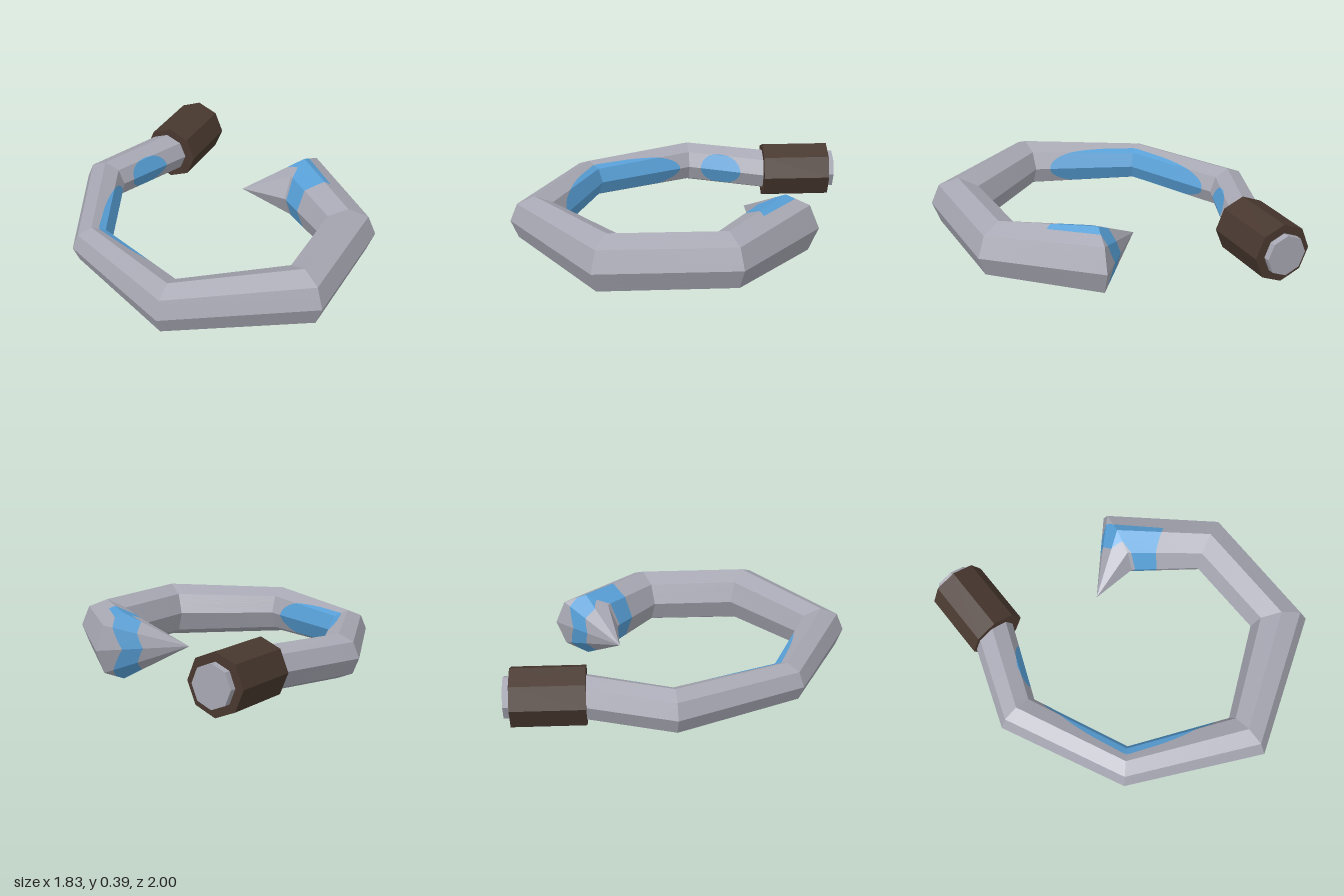
import * as THREE from 'three';

const CY = 0.2; // height of the hook's centre line

// Octagonal sections: centre x, z, point on the outer edge x, z
const stations = [
  [-0.60, -1.00, -0.72, -1.00],
  [-0.60, -0.60, -0.725, -0.62],
  [-0.795, -0.08, -0.92, -0.07],
  [-0.50, 0.555, -0.58, 0.64],
  [0.155, 0.85, 0.165, 0.995],
  [0.76, 0.435, 0.905, 0.52],
  [0.76, -0.21, 0.91, -0.28],
  [0.33, -0.57, 0.37, -0.76],
  [0.01, -0.37, 0.01, -0.37], // tip
];
const LAST = stations.length - 1;

// Corner of a section; w counts eighths of a turn: 0 inner, 2 top, 4 outer, -2 bottom
function corner(k, w) {
  const [cx, cz, ox, oz] = stations[k];
  const a = w * Math.PI / 4;
  const dx = ox - cx, dz = oz - cz;
  return new THREE.Vector3(
    cx - dx * Math.cos(a), CY + Math.hypot(dx, dz) * Math.sin(a), cz - dz * Math.cos(a));
}

// Point on the faceted surface, u along the hook, w around it
function surface(u, w) {
  const k = Math.min(Math.floor(u), LAST - 1), j = Math.floor(w);
  const ring = (s) => corner(s, j).lerp(corner(s, j + 1), w - j);
  return ring(k).lerp(ring(k + 1), u - k);
}

// Piecewise linear lookup
function lookup(table, x) {
  for (let i = 1; i < table.length; i++) {
    const [x0, y0] = table[i - 1], [x1, y1] = table[i];
    if (x <= x1) return y0 + (y1 - y0) * (x - x0) / (x1 - x0);
  }
  return table[table.length - 1][1];
}

// Start and end of an oval patch on the inner side
function oval(centre, half, reach, w) {
  const h = half * Math.sqrt(Math.max(0, 1 - (w / reach) ** 2));
  return [centre - h, centre + h];
}

// Patch boundaries along u; metal and blue alternate between them
function boundaries(w) {
  const a = Math.abs(w);
  return [
    0,
    ...oval(1.6, 0.25, 1.1, w),
    ...oval(2.98, 0.87, 1.5, w),
    lookup([[0, 6.62], [1, 6.62], [2.3, 6.5], [2.4, 7], [4, 7.28]], a),
    lookup([[0, 6.95], [1, 6.95], [1.5, 7], [2, 7.28], [4, 7.5]], a),
    LAST,
  ];
}

function pushTri(out, a, b, c) {
  const area = b.clone().sub(a).cross(c.clone().sub(a)).length();
  if (area > 1e-9) for (const p of [a, b, c]) out.push(p.x, p.y, p.z);
}

function meshFrom(positions, material, name) {
  const g = new THREE.BufferGeometry();
  g.setAttribute('position', new THREE.Float32BufferAttribute(positions, 3));
  g.computeVertexNormals();
  const m = new THREE.Mesh(g, material);
  m.name = name;
  return m;
}

export function createModel() {
  const make = (name, color) =>
    new THREE.MeshStandardMaterial({ name, color, flatShading: true });
  const metal = make('grey metal', 0xa6a7b2);
  const blue = make('blue stain', 0x579fd6);
  const brown = make('dark brown grip', 0x48382f);

  const group = new THREE.Group();
  group.name = 'hook';

  // Curved hook and its blue patches, built in narrow lengthwise strips
  const sides = [[], []];
  const STEPS = 10;
  for (let i = -4 * STEPS; i < 4 * STEPS; i++) {
    const wa = i / STEPS, wb = (i + 1) / STEPS;
    const ba = boundaries(wa), bb = boundaries(wb);
    for (let n = 0; n < ba.length - 1; n++) {
      for (let k = 0; k < LAST; k++) {
        const clamp = (u) => Math.min(Math.max(u, k), k + 1);
        const a0 = clamp(ba[n]), a1 = clamp(ba[n + 1]);
        const b0 = clamp(bb[n]), b1 = clamp(bb[n + 1]);
        if (a1 - a0 < 1e-6 && b1 - b0 < 1e-6) continue;
        const p = surface(a0, wa), q = surface(b0, wb);
        const r = surface(b1, wb), s = surface(a1, wa);
        pushTri(sides[n % 2], p, q, r);
        pushTri(sides[n % 2], p, r, s);
      }
    }
  }

  // Flat butt at the grip end
  const butt = new THREE.Vector3(stations[0][0], CY, stations[0][1]);
  for (let w = -4; w < 4; w++) pushTri(sides[0], butt, corner(0, w + 1), corner(0, w));

  group.add(meshFrom(sides[0], metal, 'hookBody'));
  group.add(meshFrom(sides[1], blue, 'bluePatches'));

  // Octagonal grip
  const grip = new THREE.Mesh(new THREE.CylinderGeometry(0.172, 0.172, 0.41, 8), brown);
  grip.name = 'grip';
  grip.rotation.x = Math.PI / 2;
  grip.position.set(-0.597, CY, -0.757);
  group.add(grip);

  return group;
}
